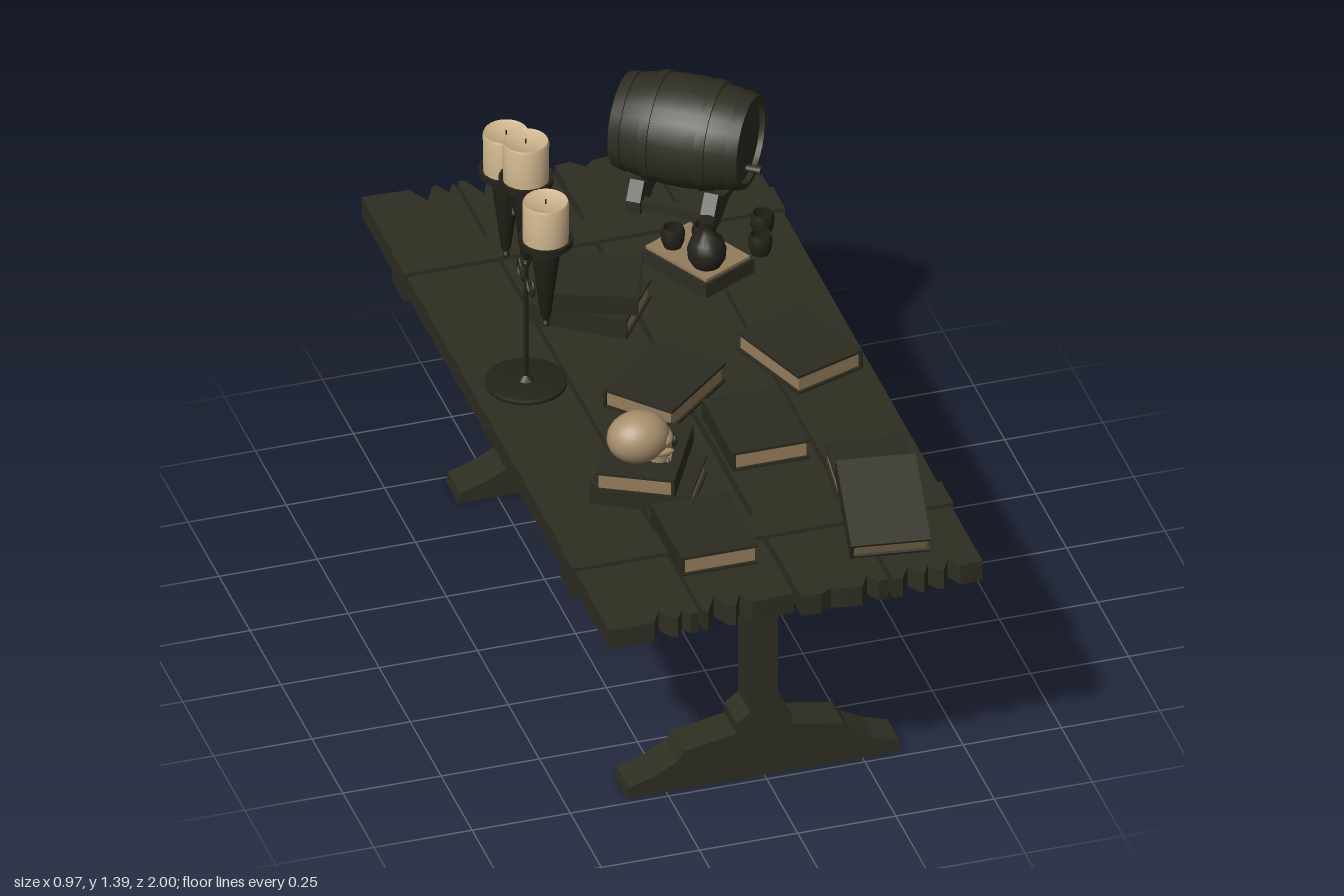
import * as THREE from 'three';
import { toCreasedNormals } from 'three/addons/utils/BufferGeometryUtils.js';

const mat = (name, color, side = THREE.FrontSide) => {
  const m = new THREE.MeshStandardMaterial({ color, side });
  m.name = name;
  return m;
};

export function createModel() {
  const wood = mat('dark wood', 0x2f2e22);
  const cover = mat('book cover', 0x2c2b20);
  const iron = mat('iron', 0x23231a);
  const wax = mat('candle wax', 0xcdb48c);
  const bone = mat('bone', 0xa8906c);
  const paper = mat('paper', 0x947d5c);
  const model = new THREE.Group();
  const TOP = 0.685;

  const add = (parent, name, geo, material, x = 0, y = 0, z = 0) => {
    const m = new THREE.Mesh(geo, material);
    m.name = name;
    m.position.set(x, y, z);
    parent.add(m);
    return m;
  };
  const group = (name, x, y, z, ry = 0, rx = 0) => {
    const g = new THREE.Group();
    g.name = name;
    g.position.set(x, y, z);
    g.rotation.set(rx, ry, 0, 'YXZ');
    model.add(g);
    return g;
  };
  const box = (w, h, d) => new THREE.BoxGeometry(w, h, d);
  const lathe = (pts, seg = 24) =>
    toCreasedNormals(new THREE.LatheGeometry(pts.map(p => new THREE.Vector2(...p)), seg), 0.6);
  const shapeOf = pts => new THREE.Shape(pts.map(p => new THREE.Vector2(...p)));
  const extrude = (shape, depth) => new THREE.ExtrudeGeometry(shape, { depth, bevelEnabled: false, curveSegments: 10 });

  // Planks with splintered ends: each notch is [x, half width, depth]
  const planks = [
    { x0: -0.48, x1: -0.247, front: [[-0.34, 0.025, 0.045], [-0.285, 0.02, 0.03]], back: [[-0.33, 0.03, 0.06], [-0.27, 0.02, 0.04]] },
    { x0: -0.237, x1: -0.004, front: [[-0.195, 0.03, 0.055], [-0.13, 0.025, 0.05]], back: [[-0.19, 0.03, 0.07], [-0.09, 0.03, 0.03]] },
    { x0: 0.01, x1: 0.235, front: [[0.09, 0.03, 0.015], [0.19, 0.025, 0.045]], back: [[0.08, 0.03, 0.03], [0.2, 0.025, 0.06]] },
    { x0: 0.245, x1: 0.477, front: [[0.295, 0.025, 0.04], [0.345, 0.02, 0.035], [0.4, 0.025, 0.05]], back: [[0.285, 0.025, 0.05], [0.385, 0.03, 0.035]] },
  ];
  planks.forEach(({ x0, x1, front, back }, i) => {
    const edge = (notches, z, s) => notches.flatMap(([x, w, d]) => [[x - w, z * s], [x, (z - d) * s], [x + w * 0.8, (z - 0.008) * s]]);
    const zf = 1 - (i % 2) * 0.008;
    const pts = [[x0, -zf], ...edge(front, zf, -1), [x1, -zf + 0.012],
      [x1, 0.985], ...edge(back, 0.995, 1).reverse(), [x0, 1 - i * 0.004]];
    const geo = extrude(shapeOf(pts), 0.055);
    geo.rotateX(-Math.PI / 2);
    add(model, 'plank', geo, wood, 0, TOP - 0.055, 0);
  });

  // Cross straps and trestle legs
  const half = [[0.35, 0], [0.345, 0.03], [0.28, 0.05], [0.22, 0.082], [0.205, 0.108], [0.07, 0.133], [0.07, 0.162],
    [0.035, 0.188], [0.035, 0.478], [0.07, 0.5], [0.07, 0.525], [0.125, 0.535], [0.22, 0.565], [0.24, 0.578], [0.35, 0.605], [0.35, 0.625]];
  const outline = [...half, ...half.map(([x, y]) => [-x, y]).reverse()];
  for (const s of [1, -1]) {
    add(model, 'crossStrap', box(0.97, 0.082, 0.098), wood, -0.003, 0.654, s * 0.68);
    add(model, 'trestleLeg', extrude(shapeOf(outline), 0.1), wood, 0, 0, s * 0.68 - 0.05);
  }

  // Books: spine = -1 or +1 is the local x side of the spine
  const book = (x, y, z, ry, spine = -1, rx = 0, w = 0.195, l = 0.25, t = 0.054) => {
    const g = group('book', x, y + t / 2, z, ry, rx);
    for (const s of [1, -1]) add(g, 'bookCover', box(w, 0.007, l), cover, 0, s * (t / 2 - 0.0035), 0);
    add(g, 'bookSpine', box(0.008, t - 0.002, l), cover, spine * (w / 2 - 0.003), 0, 0);
    add(g, 'bookPages', box(w - 0.014, t - 0.012, l - 0.014), paper, 0, 0, 0);
  };
  book(-0.1, TOP, -0.36, 0.95);
  book(-0.1, 0.744, -0.345, 1.19, -1, 0, 0.185, 0.235);
  book(-0.04, TOP, 0.05, -0.85);
  book(0.32, TOP, 0.0, 0.34, 1);
  book(0.115, TOP, 0.3, 0);
  book(-0.2, TOP, 0.43, 1.04);
  book(-0.21, 0.744, 0.425, -0.49, 1);
  book(-0.148, 0.697, 0.72, 0);
  book(0.32, 0.692, 0.59, -0.13, 1);
  book(0.28, 0.744, 0.8, -0.14, -1, 0.42);

  // Skull facing +x
  const skull = group('skull', -0.24, 0.8, 0.48, 0.08);
  const ball = (name, m, r, sx, sy, sz, x, y, z) => {
    add(skull, name, new THREE.SphereGeometry(r, 24, 16), m, x, y, z).scale.set(sx, sy, sz);
  };
  ball('cranium', bone, 0.068, 1.16, 0.95, 0.98, -0.002, 0.075, 0);
  ball('brow', bone, 0.04, 0.7, 0.6, 1.25, 0.055, 0.07, 0);
  add(skull, 'upperJaw', new THREE.CylinderGeometry(0.036, 0.028, 0.055, 14), bone, 0.052, 0.03, 0);
  for (const s of [1, -1]) {
    ball('eyeSocket', iron, 0.016, 0.45, 1, 1, 0.081, 0.06, s * 0.024);
    ball('cheekbone', bone, 0.016, 1.9, 0.6, 0.6, 0.045, 0.042, s * 0.042);
  }
  ball('noseHole', iron, 0.009, 0.5, 1.2, 0.8, 0.086, 0.038, 0);
  for (let i = -3; i <= 3; i++) {
    const a = i * 0.35;
    add(skull, 'tooth', box(0.008, 0.014, 0.008), bone, 0.052 + 0.028 * Math.cos(a), 0.007, 0.028 * Math.sin(a)).rotation.y = -a;
  }

  // Candelabra
  const stand = group('candelabra', -0.345, 0, -0.1);
  add(stand, 'standBase', lathe([[0, 0.685], [0.1, 0.685], [0.1, 0.693], [0.09, 0.697], [0.02, 0.697], [0.008, 0.71], [0, 0.71]], 32), iron);
  add(stand, 'pole', new THREE.CylinderGeometry(0.006, 0.006, 0.5, 10), iron, 0, 0.93, 0);
  add(stand, 'crossBar', box(0.009, 0.009, 0.33), iron, 0, 1.167, 0);
  for (const [z, y] of [[0.16, 1.205], [0, 1.28], [-0.16, 1.205]]) {
    add(stand, 'candleHolder', lathe([[0, -0.25], [0.008, -0.25], [0.01, -0.243], [0.006, -0.234], [0.012, -0.225], [0.036, -0.035], [0.044, -0.033],
      [0.044, -0.024], [0.04, -0.02], [0.055, -0.012], [0.067, -0.01], [0.067, 0.006], [0.06, 0.006], [0.058, 0], [0, 0]]), iron, 0, y, z);
    add(stand, 'candle', lathe([[0, 0], [0.056, 0], [0.057, 0.105], [0.054, 0.111], [0.048, 0.107], [0, 0.103]], 28), wax, 0, y, z);
    add(stand, 'wick', new THREE.CylinderGeometry(0.002, 0.002, 0.014, 6), iron, 0, y + 0.108, z);
  }
  const scroll = [[0.085, 1.125], [0.095, 1.112], [0.108, 1.13], [0.09, 1.157], [0.064, 1.145], [0.053, 1.11], [0.036, 1.065],
    [0.012, 1.03], [0.008, 0.99], [0.03, 0.967], [0.058, 0.975], [0.065, 0.998], [0.052, 1.013], [0.042, 1.0]];
  for (const s of [1, -1]) {
    const path = new THREE.CatmullRomCurve3(scroll.map(([o, y]) => new THREE.Vector3(0, y, s * o)));
    add(stand, 'scroll', new THREE.TubeGeometry(path, 60, 0.0038, 6), iron);
  }

  // Barrel lying along its local x axis, on two cradles
  const barrel = group('barrel', 0.275, 0, -0.765, -0.63);
  const bulge = t => 0.139 - 0.026 * (t / 0.165) ** 2;
  const profile = [[0, -0.152], [0.1, -0.152], [0.103, -0.165]];
  const bands = [[-0.165, -0.135], [-0.085, -0.06], [0.06, 0.085], [0.135, 0.165]];
  bands.forEach(([a, b], i) => {
    profile.push([bulge(a) + 0.004, a], [bulge(b) + 0.004, b]);
    if (i < 3) for (let k = 0; k <= 3; k++) {
      const t = b + 0.0005 + (bands[i + 1][0] - b - 0.001) * k / 3;
      profile.push([bulge(t), t]);
    }
  });
  profile.push([0.103, 0.165], [0.1, 0.152], [0, 0.152]);
  add(barrel, 'barrelBody', lathe(profile, 28), wood, 0, 0.877, 0).rotation.z = -Math.PI / 2;
  add(barrel, 'tap', new THREE.CylinderGeometry(0.011, 0.009, 0.04, 10), wood, 0.17, 0.8, 0).rotation.z = -Math.PI / 2;
  const cradle = new THREE.Shape();
  cradle.moveTo(-0.13, 0);
  cradle.lineTo(-0.085, 0);
  cradle.absarc(0, -0.06, 0.09, 2.4, 0.74, true);
  cradle.lineTo(0.085, 0);
  cradle.lineTo(0.13, 0);
  cradle.lineTo(0.13, 0.045);
  cradle.lineTo(0.1, 0.09);
  cradle.absarc(0, 0.19, 0.14, -0.8, -2.34, true);
  cradle.lineTo(-0.13, 0.045);
  for (const s of [1, -1]) {
    const m = add(barrel, 'cradle', extrude(cradle, 0.036), wood, s * 0.095 - 0.018, TOP, 0);
    m.rotation.y = Math.PI / 2;
  }
  for (const s of [1, -1]) add(barrel, 'cradleRail', box(0.2, 0.025, 0.025), wood, 0, TOP + 0.03, s * 0.105);

  // Tray with parchment, bottle and cups
  const tray = group('tray', 0.206, TOP, -0.46, 0.47);
  add(tray, 'trayBase', box(0.165, 0.04, 0.225), wood, 0, 0.02, 0);
  add(tray, 'parchment', box(0.15, 0.008, 0.21), paper, 0, 0.044, 0);
  const cupGeo = lathe([[0, 0], [0.022, 0], [0.029, 0.02], [0.03, 0.04], [0.026, 0.055], [0.022, 0.055], [0.022, 0.015], [0, 0.015]], 18);
  for (const [x, y, z] of [[0.155, 0.733, -0.5], [0.23, 0.733, -0.487], [0.37, TOP, -0.476], [0.403, TOP, -0.564]])
    add(model, 'cup', cupGeo, iron, x, y, z);
  add(model, 'bottle', lathe([[0, 0], [0.035, 0], [0.046, 0.02], [0.048, 0.045], [0.04, 0.07], [0.02, 0.09], [0.014, 0.105],
    [0.014, 0.118], [0.02, 0.12], [0.02, 0.128], [0, 0.128]]), iron, 0.21, 0.733, -0.4);

  return model;
}
